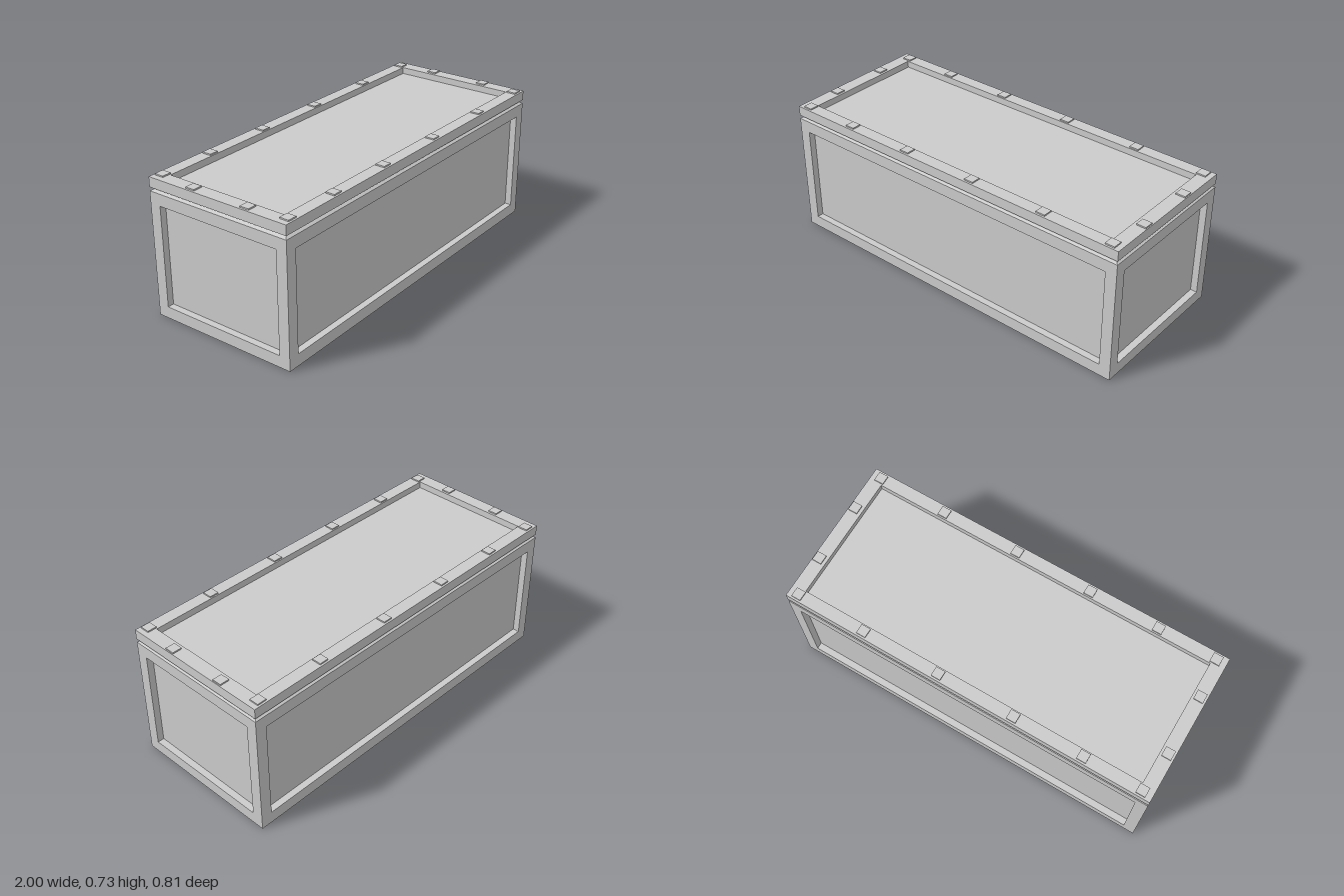
import * as THREE from 'three';

const material = new THREE.MeshStandardMaterial({ color: 0xcccccc, flatShading: true });

// Joins rectangles [halfWidth, halfHeight, depth] in order and caps the last one; faces +z
function rectLoft(loops) {
  const rings = loops.map(([a, b, z]) => [[-a, -b, z], [a, -b, z], [a, b, z], [-a, b, z]]);
  const points = [];
  const quad = (a, b, c, d) => points.push(...a, ...b, ...c, ...a, ...c, ...d);
  for (let i = 0; i < rings.length - 1; i++) {
    const p = rings[i], q = rings[i + 1];
    for (let k = 0; k < 4; k++) {
      const n = (k + 1) % 4;
      quad(p[k], p[n], q[n], q[k]);
    }
  }
  quad(...rings[rings.length - 1]);
  const geometry = new THREE.BufferGeometry();
  geometry.setAttribute('position', new THREE.Float32BufferAttribute(points, 3));
  geometry.computeVertexNormals();
  return geometry;
}

function addMesh(parent, name, geometry, position = [0, 0, 0], rotation = [0, 0, 0]) {
  const mesh = new THREE.Mesh(geometry, material);
  mesh.name = name;
  mesh.position.set(...position);
  mesh.rotation.set(...rotation);
  parent.add(mesh);
  return mesh;
}

export function createModel() {
  const model = new THREE.Group();
  model.name = 'crate';
  const W = 1, D = 0.403, bodyH = 0.653, lidTop = 0.724, recess = 0.035;
  const midY = bodyH / 2;
  const framed = (a, b, ia, ib) => rectLoft([[a, b, 0], [ia, ib, 0], [ia, ib, -recess]]);

  // Body: framed, recessed panels on every side and underneath
  const body = new THREE.Group();
  body.name = 'body';
  model.add(body);
  const longPanel = framed(W, midY, 0.94, 0.264);
  const endPanel = framed(D, midY, 0.344, 0.265);
  addMesh(body, 'frontPanel', longPanel, [0, midY, D]);
  addMesh(body, 'backPanel', longPanel, [0, midY, -D], [0, Math.PI, 0]);
  addMesh(body, 'leftPanel', endPanel, [W, midY, 0], [0, Math.PI / 2, 0]);
  addMesh(body, 'rightPanel', endPanel, [-W, midY, 0], [0, -Math.PI / 2, 0]);
  addMesh(body, 'bottomPanel', framed(W, D, 0.935, 0.337), [0, 0, 0], [Math.PI / 2, 0, 0]);

  // Lid: V-groove at the seam, upright band, rim and sunken top
  const lid = new THREE.Group();
  lid.name = 'lid';
  model.add(lid);
  addMesh(lid, 'lidFrame', rectLoft([
    [W, D, bodyH], [W - 0.015, D - 0.015, 0.662], [W, D, 0.672],
    [W, D, lidTop], [0.928, 0.336, lidTop], [0.928, 0.336, lidTop - recess],
  ]), [0, 0, 0], [-Math.PI / 2, 0, 0]);

  // Small raised pads around the rim
  const padH = 0.007;
  const pad = new THREE.BoxGeometry(0.05, padH, 0.05);
  const addPad = (x, z) => addMesh(lid, 'rimPad', pad, [x, lidTop + padH / 2, z]);
  for (const z of [-0.368, 0.368]) {
    for (const x of [-0.945, -0.635, -0.26, 0.152, 0.573, 0.948]) addPad(x, z);
  }
  for (const x of [-0.965, 0.97]) {
    for (const z of [-0.156, 0.163]) addPad(x, z);
  }
  return model;
}
